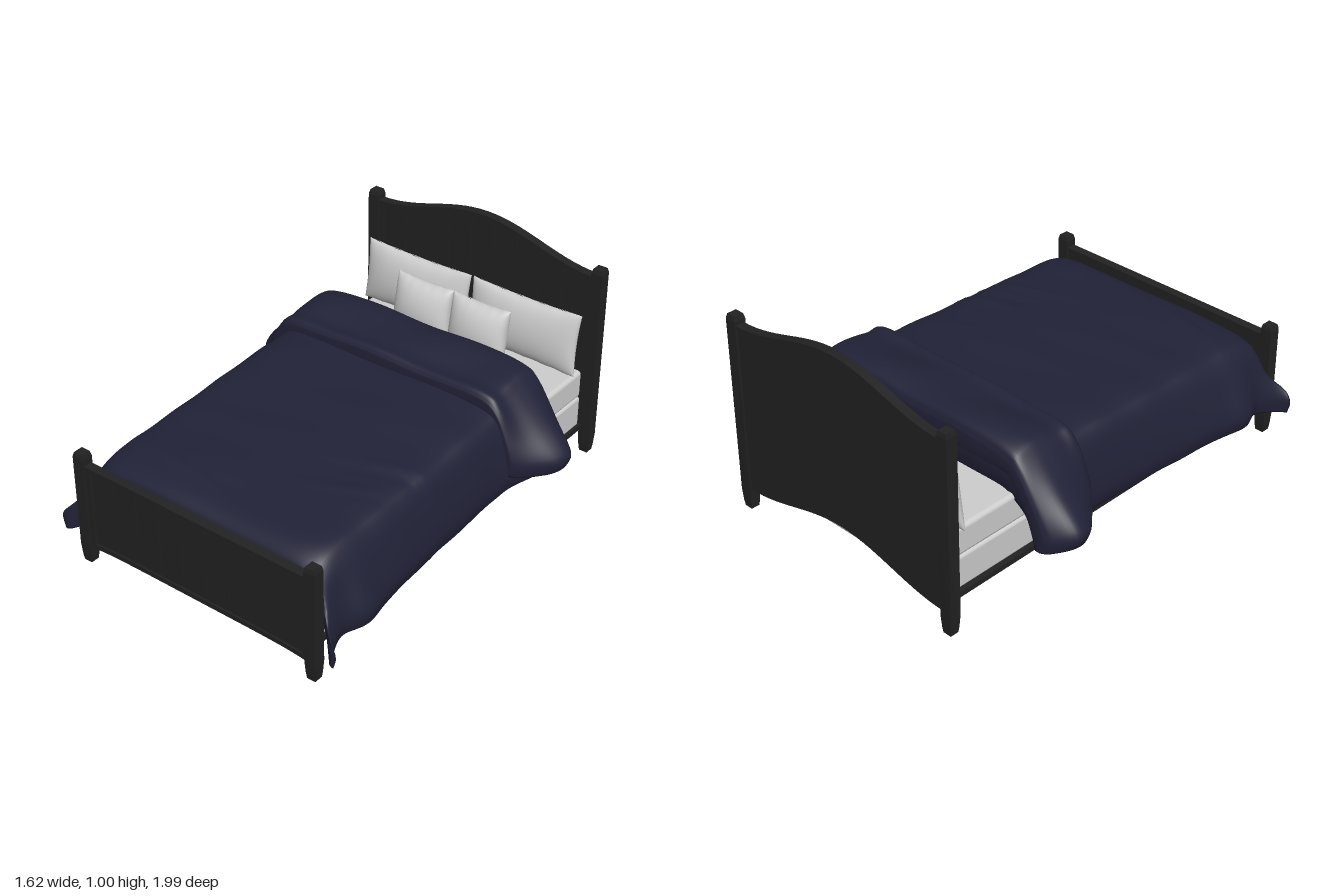
import * as THREE from 'three';
import { toCreasedNormals } from 'three/addons/utils/BufferGeometryUtils.js';
import { RoundedBoxGeometry } from 'three/addons/geometries/RoundedBoxGeometry.js';

const CX = 0.01; // middle of the bed frame
const mat = (name, color) => Object.assign(new THREE.MeshStandardMaterial({ color }), { name });
const lerp = THREE.MathUtils.lerp;

function add(parent, name, geo, material, x = 0, y = 0, z = 0) {
  const mesh = new THREE.Mesh(geo, material);
  mesh.name = name;
  mesh.position.set(x, y, z);
  parent.add(mesh);
  return mesh;
}

// Outline bounded by a lower and an upper curve between two x positions
function bandPoints(x0, x1, bottom, top, n = 28) {
  const pts = [];
  for (let i = 0; i <= n; i++) { const x = lerp(x0, x1, i / n); pts.push(new THREE.Vector2(x, bottom(x))); }
  for (let i = n; i >= 0; i--) { const x = lerp(x0, x1, i / n); pts.push(new THREE.Vector2(x, top(x))); }
  return pts;
}
function extrudeBand(outer, depth, hole) {
  const shape = new THREE.Shape(outer);
  if (hole) shape.holes.push(new THREE.Path(hole));
  return toCreasedNormals(new THREE.ExtrudeGeometry(shape, { depth, bevelEnabled: false }), 0.5);
}

// Square post with tapered foot and bevelled top
function postGeometry(h) {
  const r = Math.SQRT2;
  const profile = [[0, 0], [0.02, 0], [0.0235, 0.03], [0.027, 0.085], [0.027, h - 0.02], [0.022, h], [0, h]]
    .map(([x, y]) => new THREE.Vector2(x * r, y));
  return toCreasedNormals(new THREE.LatheGeometry(profile, 4, Math.PI / 4), 0.1);
}

// Board with backing, frame, planks and a top cap, between two posts
function board(name, wood, o) {
  const g = new THREE.Group();
  g.name = name;
  const W = 0.575, inner = 0.54;
  const shift = (f, d) => x => f(x) + d;
  add(g, name + 'Backing', extrudeBand(bandPoints(-W, W, o.bottom, o.top), 0.018), wood, 0, 0, -0.016);
  add(g, name + 'Frame', extrudeBand(bandPoints(-W, W, o.bottom, o.top), 0.016,
    bandPoints(-inner, inner, shift(o.bottom, o.rim), shift(o.top, -o.rim)).reverse()), wood, 0, 0, 0.002);
  add(g, name + 'Cap', extrudeBand(bandPoints(-W, W, shift(o.top, -0.016), o.top), 0.042), wood, 0, 0, -0.021);
  const step = 2 * inner / o.planks;
  for (let i = 0; i < o.planks; i++) {
    const x = -inner + i * step;
    add(g, name + 'Plank', extrudeBand(bandPoints(x + 0.002, x + step - 0.002,
      shift(o.bottom, o.rim), shift(o.top, -o.rim), 6), 0.008), wood, 0, 0, 0.002);
  }
  for (const s of [-1, 1]) add(g, name + 'Post', postGeometry(o.post), wood, s * 0.593);
  g.position.set(CX, 0, o.z);
  return g;
}

// Plump pillow: two bulged sheets with pulled corners
function pillow(name, material, w, h, t) {
  const g = new THREE.Group();
  g.name = name;
  for (const side of [1, -1]) {
    const geo = new THREE.PlaneGeometry(2, 2, 28, 24);
    const p = geo.attributes.position;
    for (let i = 0; i < p.count; i++) {
      const u = Math.sin(p.getX(i) * Math.PI / 2), v = Math.sin(p.getY(i) * Math.PI / 2);
      const a = Math.max(0, 1 - u * u), b = Math.max(0, 1 - v * v);
      p.setXYZ(i, w * u * (1 - 0.04 * b), h * v * (1 - 0.07 * a + 0.008 * Math.sin(u * 17)),
        t * Math.pow(a, 0.4) * Math.sqrt(b));
    }
    geo.computeVertexNormals();
    if (side < 0) geo.rotateY(Math.PI);
    add(g, name + (side > 0 ? 'Front' : 'Back'), geo, material);
  }
  return g;
}

// Padded cover lofted from stations: z, top height, hem half-width, hem height, hem flare in z
function coverGeometry(stations, thickness, rings, wrinkle) {
  const c1 = new THREE.CatmullRomCurve3(stations.map(s => new THREE.Vector3(s[0], s[1], s[2])), false, 'catmullrom');
  const c2 = new THREE.CatmullRomCurve3(stations.map(s => new THREE.Vector3(s[3], s[4], 0)), false, 'catmullrom');
  const N = 72, pos = [], idx = [];
  const side = half => {
    const left = half.slice(1).reverse().map(([x, y]) => [-x, y]);
    return new THREE.SplineCurve([...left, ...half].map(([x, y]) => new THREE.Vector2(x, y))).getPoints(N);
  };
  const ring = (t, closed) => {
    const { x: z, y: h, z: w } = c1.getPoint(t), { x: b, y: flare } = c2.getPoint(t);
    const mx = lerp(0.6, w, 0.5), my = lerp(h, b, 0.5), d = thickness;
    const outer = side([[0, h], [0.3, h], [0.5, h - 0.01], [0.575, h - 0.055], [mx, my], [w, b + 0.07], [w - 0.012, b]]);
    const inner = side([[0, h - d], [0.3, h - d], [0.48, h - d], [0.53, h - d - 0.02], [mx - 0.04, my - 0.03],
      [w - 0.055, b + 0.07], [w - 0.035, b]]);
    for (const p of outer) p.y += wrinkle(p.x, z);
    const pts = [...outer, ...inner.slice().reverse()];
    pts.forEach((p, i) => {
      const q = closed ? p.clone().lerp(pts[pts.length - 1 - i], 0.5) : p;
      pos.push(q.x, q.y, z + flare * THREE.MathUtils.smoothstep(Math.abs(q.x), 0.6, 0.7));
    });
  };
  ring(0, true);
  for (let i = 0; i <= rings; i++) ring(i / rings, false);
  ring(1, true);
  const M = 2 * (N + 1);
  for (let i = 0; i < rings + 2; i++) for (let j = 0; j < M; j++) {
    const a = i * M + j, b = i * M + (j + 1) % M;
    idx.push(a, a + M, b, b, a + M, b + M);
  }
  const geo = new THREE.BufferGeometry();
  geo.setAttribute('position', new THREE.Float32BufferAttribute(pos, 3));
  geo.setIndex(idx);
  geo.computeVertexNormals();
  return geo;
}

export function createModel() {
  const root = new THREE.Group();
  root.name = 'bed';
  const wood = mat('blackWood', 0x222222);
  const navy = mat('navyFabric', 0x222238);
  const linen = mat('whiteLinen', 0xcdcdcd);

  // Headboard and footboard
  const bell = x => 0.5 + 0.5 * Math.cos(Math.PI * x / 0.575);
  root.add(board('headboard', wood, {
    z: -0.972, post: 0.93, planks: 9, rim: 0.03,
    top: x => 0.89 + 0.11 * bell(x), bottom: x => 0.1 + 0.1 * bell(x),
  }));
  root.add(board('footboard', wood, {
    z: 0.962, post: 0.54, planks: 9, rim: 0.022,
    top: () => 0.488, bottom: x => 0.094 - 0.014 * Math.pow(x / 0.575, 6),
  }));

  // Rails around the base
  for (const s of [-1, 1])
    add(root, 'sideRail', new THREE.BoxGeometry(0.028, 0.024, 1.9), wood, CX + s * 0.562, 0.13, 0);
  add(root, 'footRail', new THREE.BoxGeometry(1.12, 0.024, 0.028), wood, CX, 0.13, 0.925);

  // Box spring and mattress
  add(root, 'boxSpring', new RoundedBoxGeometry(1.116, 0.152, 1.85, 3, 0.015), linen, CX + 0.005, 0.21, -0.02);
  add(root, 'mattress', new RoundedBoxGeometry(1.116, 0.136, 1.85, 3, 0.02), linen, CX + 0.005, 0.354, -0.02);

  // Comforter, with a few raised creases
  const creases = [[0.42, 0.28, 0.35], [0.45, 0.38, 0.3], [0.4, 0.47, 0.45], [-0.3, 0.75, -0.2]];
  const wrinkle = (x, z) => {
    let y = 0.003 * Math.sin(x * 9 + z * 4) + 0.002 * Math.sin(z * 23 + x * 5);
    for (const [cx, cz, slope] of creases) {
      const dx = x - cx, dz = z - cz + slope * dx;
      y += 0.009 * Math.exp(-dx * dx / 0.025 - dz * dz / 0.0006);
    }
    return y;
  };
  add(root, 'comforter', coverGeometry([
    [-0.58, 0.56, 0.70, 0.21, 0], [-0.42, 0.56, 0.68, 0.2, 0], [-0.25, 0.555, 0.635, 0.19, 0],
    [0.0, 0.545, 0.635, 0.175, 0], [0.3, 0.53, 0.645, 0.165, 0], [0.58, 0.52, 0.665, 0.16, 0],
    [0.73, 0.515, 0.685, 0.155, 0], [0.84, 0.5, 0.645, 0.15, 0.01], [0.905, 0.465, 0.67, 0.135, 0.04],
    [0.928, 0.41, 0.715, 0.125, 0.06],
  ], 0.13, 80, wrinkle), navy, 0.012);

  // Turned-back fold of the comforter
  add(root, 'comforterFold', coverGeometry([
    [-0.592, 0.585, 0.70, 0.225, 0], [-0.57, 0.625, 0.74, 0.23, 0], [-0.5, 0.64, 0.80, 0.25, 0],
    [-0.42, 0.63, 0.79, 0.25, 0], [-0.34, 0.612, 0.73, 0.25, 0], [-0.285, 0.615, 0.68, 0.255, 0],
    [-0.262, 0.59, 0.655, 0.27, 0],
  ], 0.07, 28, (x, z) => 0.005 * Math.sin(x * 11 + z * 14) + 0.006 * x), navy);

  // Pillows
  for (const s of [-1, 1]) {
    const big = pillow('largePillow', linen, 0.283, 0.147, 0.057);
    big.position.set(s * 0.288, 0.566, -0.892);
    big.rotation.x = -0.12;
    const small = pillow('smallPillow', linen, 0.15, 0.13, 0.066);
    small.position.set(-0.013 + s * 0.15, 0.558, -0.765);
    small.rotation.x = -0.18;
    root.add(big, small);
  }
  return root;
}
